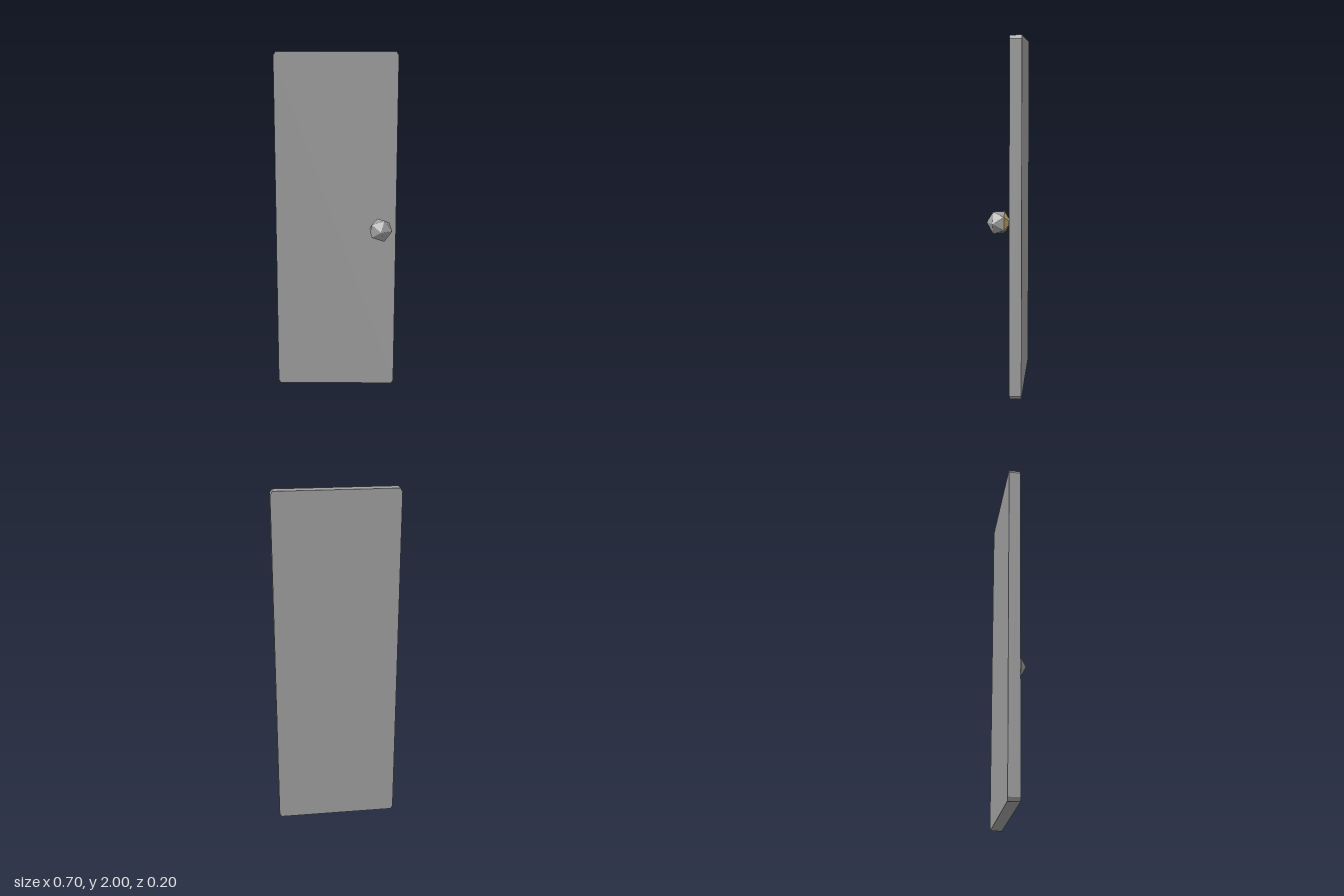
import * as THREE from 'three';
import { ConvexGeometry } from 'three/addons/geometries/ConvexGeometry.js';

const grey = new THREE.MeshStandardMaterial({ color: 0x9e9e9e, flatShading: true });
grey.name = 'grey';
const brass = new THREE.MeshStandardMaterial({ color: 0xc8ad6c, flatShading: true });
brass.name = 'brass';

function addMesh(parent, name, geometry, material) {
  const mesh = new THREE.Mesh(geometry, material);
  mesh.name = name;
  parent.add(mesh);
  return mesh;
}

// Upright slab with small cut corners
function doorPanelGeometry() {
  const w = 0.352, h = 2, cx = 0.012, cy = 0.02, back = -0.1, front = -0.033;
  const shape = new THREE.Shape([
    [-w + cx, 0], [w - cx, 0], [w, cy], [w, h - cy],
    [w - cx, h], [-w + cx, h], [-w, h - cy], [-w, cy],
  ].map(([x, y]) => new THREE.Vector2(x, y)));
  return new THREE.ExtrudeGeometry(shape, { depth: front - back, bevelEnabled: false })
    .translate(0, 0, back);
}

// Five corners around the knob axis
function pentagon(radius, z, start) {
  return Array.from({ length: 5 }, (_, i) => {
    const a = start + (i * Math.PI * 2) / 5;
    return new THREE.Vector3(radius * Math.cos(a), radius * Math.sin(a), z);
  });
}

// Icosahedral knob front, its corners and edges slightly blunted
function knobGeometry() {
  const tip = new THREE.Vector3(0, 0, 0.1);
  const front = pentagon(0.0655, 0.062, 0);
  const back = pentagon(0.0635, 0, Math.PI / 5);
  const points = [...back];
  const inset = (a, b, c) => {
    const centre = new THREE.Vector3().add(a).add(b).add(c).divideScalar(3);
    return [a, b, c].map((p) => p.clone().lerp(centre, 0.06));
  };
  for (let i = 0; i < 5; i++) {
    const j = (i + 1) % 5;
    points.push(...inset(tip, front[i], front[j]));
    points.push(...inset(front[i], front[j], back[i]));
    points.push(...inset(back[i], back[j], front[j]));
  }
  return new ConvexGeometry(points);
}

// Five-sided stem that flares from the door to the knob
function stemGeometry() {
  const profile = [[0.025, -0.034], [0.023, -0.03], [0.023, -0.024], [0.028, -0.02], [0.0635, 0]]
    .map(([r, y]) => new THREE.Vector2(r, y));
  return new THREE.LatheGeometry(profile, 5, -Math.PI / 2).rotateX(Math.PI / 2);
}

export function createModel() {
  const model = new THREE.Group();
  model.name = 'door';
  addMesh(model, 'doorPanel', doorPanelGeometry(), grey);

  const handle = new THREE.Group();
  handle.name = 'doorHandle';
  handle.position.set(0.26, 0.99, 0);
  addMesh(handle, 'knob', knobGeometry(), grey);
  addMesh(handle, 'stem', stemGeometry(), brass);
  model.add(handle);
  return model;
}
